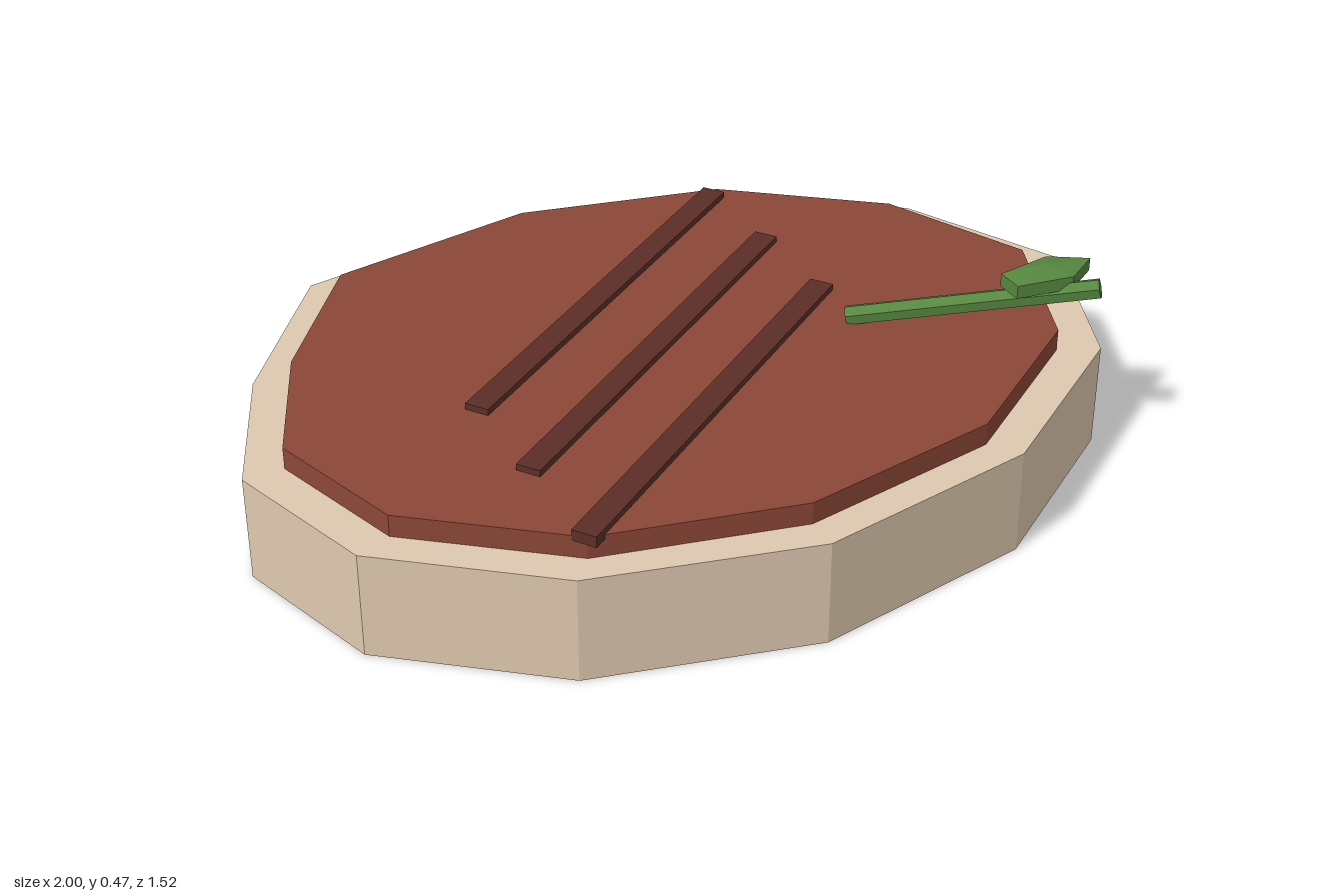
import * as THREE from 'three';

const material = (color) => new THREE.MeshStandardMaterial({ color, flatShading: true });

// Upright slab between two heights from an outline of [x, z] corners
function slab(name, outline, y0, y1, mat) {
  const shape = new THREE.Shape(outline.map(([x, z]) => new THREE.Vector2(x, -z)));
  const geometry = new THREE.ExtrudeGeometry(shape, { depth: y1 - y0, bevelEnabled: false });
  geometry.rotateX(-Math.PI / 2).translate(0, y0, 0);
  const mesh = new THREE.Mesh(geometry, mat);
  mesh.name = name;
  return mesh;
}

export function createModel() {
  const group = new THREE.Group();
  group.name = 'garnishedSlice';
  const pale = material(0xdec9af);
  const red = material(0x8c4737);
  const dark = material(0x5c2e28);
  const green = material(0x56873f);

  // Pale outer rim
  group.add(slab('rim', [
    [-1, 0.02], [-0.86, -0.32], [-0.6, -0.67], [-0.06, -0.76], [0.46, -0.65], [0.82, -0.36],
    [1, 0.02], [0.84, 0.4], [0.45, 0.67], [-0.06, 0.76], [-0.55, 0.64], [-0.89, 0.37],
  ], 0, 0.24, pale));

  // Red centre, running through the rim and standing proud of it
  group.add(slab('centre', [
    [-0.91, 0.02], [-0.78, -0.29], [-0.55, -0.6], [-0.06, -0.685], [0.41, -0.58], [0.74, -0.32],
    [0.89, 0.02], [0.75, 0.36], [0.4, 0.605], [-0.06, 0.685], [-0.5, 0.585], [-0.81, 0.34],
  ], 0.003, 0.29, red));

  // Three diagonal grill marks
  for (let i = 0; i < 3; i++) {
    const mark = new THREE.Mesh(new THREE.BoxGeometry(1.1, 0.025, 0.055), dark);
    mark.name = `grillMark${i + 1}`;
    mark.position.set(-0.06, 0.292, -0.238 + i * 0.255);
    mark.rotation.y = Math.atan2(0.635, 0.9);
    group.add(mark);
  }

  // Sprig: a leaning stem with a faceted leaf
  const sprig = new THREE.Group();
  sprig.name = 'sprig';
  const start = new THREE.Vector3(0.365, 0.3, 0.105);
  const end = new THREE.Vector3(0.785, 0.428, 0.445);
  const axis = end.clone().sub(start);
  const stem = new THREE.Mesh(new THREE.CylinderGeometry(0.023, 0.023, axis.length(), 6), green);
  stem.name = 'stem';
  stem.position.copy(start).add(end).multiplyScalar(0.5);
  stem.quaternion.setFromUnitVectors(new THREE.Vector3(0, 1, 0), axis.normalize());

  const leaf = new THREE.Mesh(new THREE.SphereGeometry(1, 5, 3, Math.PI), green);
  leaf.name = 'leaf';
  leaf.scale.set(0.134, 0.03, 0.062);
  leaf.position.set(0.704, 0.435, 0.357);
  sprig.add(stem, leaf);
  group.add(sprig);

  return group;
}
